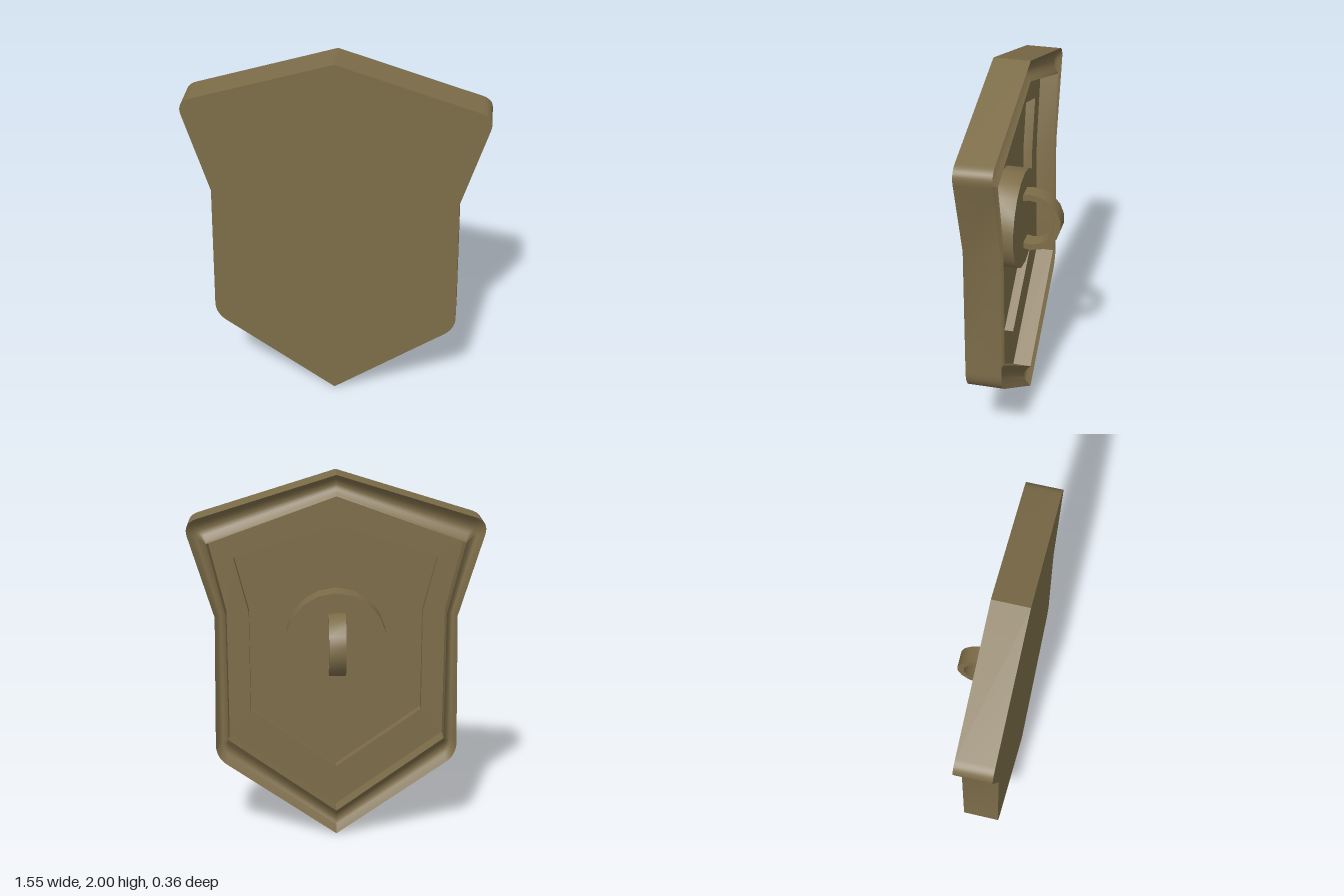
import * as THREE from 'three';
import { toCreasedNormals } from 'three/addons/utils/BufferGeometryUtils.js';

const material = new THREE.MeshStandardMaterial({ color: 0x7d6d49 });
const FRONT = 0.18, BACK = -0.01, LEDGE = 0.09, FLOOR = 0.14;

// Half outlines on the +x side, bottom tip to top tip: tip, lower corner, waist, upper corner, tip
const outerHalf = [[0, 0], [0.655, 0.46], [0.64, 1.25], [0.792, 1.754], [0, 2]];
const lipHalf = [[0, 0.137], [0.583, 0.56], [0.583, 1.26], [0.674, 1.645], [0, 1.89]];
const panelHalf = [[0, 0.36], [0.465, 0.695], [0.465, 1.25], [0.54, 1.548], [0, 1.718]];
const CORNER_STEPS = 8;

// Full counter-clockwise outline; corners 1 and 3 get a fillet of the given size (0 = sharp)
function outline(half, radius) {
  const p = half.map(([x, y]) => new THREE.Vector2(x, y));
  const right = [];
  p.forEach((v, i) => {
    if (i !== 1 && i !== 3) return right.push(v);
    const toward = (q) => v.clone().add(q.clone().sub(v).setLength(radius));
    const a = radius ? toward(p[i - 1]) : v;
    const b = radius ? toward(p[i + 1]) : v;
    right.push(...new THREE.QuadraticBezierCurve(a, v, b).getPoints(CORNER_STEPS));
  });
  const left = right.slice(1, -1).reverse().map((v) => new THREE.Vector2(-v.x, v.y));
  return [...right, ...left];
}

const at = (loop, z) => loop.map((v) => new THREE.Vector3(v.x, v.y, z));

// Skin a series of matching closed loops
function loft(loops) {
  const pos = [];
  for (let k = 0; k + 1 < loops.length; k++) {
    const a = loops[k], b = loops[k + 1], n = a.length;
    for (let i = 0; i < n; i++) {
      const j = (i + 1) % n;
      for (const tri of [[a[i], b[i], b[j]], [a[i], b[j], a[j]]]) {
        if (tri[0].equals(tri[1]) || tri[1].equals(tri[2]) || tri[0].equals(tri[2])) continue;
        tri.forEach((v) => pos.push(v.x, v.y, v.z));
      }
    }
  }
  const g = new THREE.BufferGeometry();
  g.setAttribute('position', new THREE.Float32BufferAttribute(pos, 3));
  return toCreasedNormals(g, 0.6);
}

function part(name, geometry) {
  const mesh = new THREE.Mesh(geometry, material);
  mesh.name = name;
  return mesh;
}

export function createModel() {
  const group = new THREE.Group();
  group.name = 'shield';

  const outer = outline(outerHalf, 0.075);
  const lip = outline(lipHalf, 0);
  const panel = outline(panelHalf, 0);
  const centre = outer.map(() => new THREE.Vector2(0, 1.05));

  // Shield body: front face, side wall, grooved rim, ledge and sunken panel
  const loops = [at(centre, FRONT), at(outer, FRONT)];
  const steps = 10;
  for (let s = 0; s <= steps; s++) {
    const t = s / steps;
    const z = BACK + 0.04 * Math.sin(Math.PI * t);
    loops.push(at(outer.map((v, i) => v.clone().lerp(lip[i], t)), z));
  }
  loops.push(at(lip, LEDGE), at(panel, LEDGE), at(panel, FLOOR), at(centre, FLOOR));
  group.add(part('shieldBody', loft(loops)));

  // Round boss that carries the grip
  const bossFace = 0.02;
  const boss = part('gripBoss', toCreasedNormals(
    new THREE.CylinderGeometry(0.27, 0.27, FLOOR - bossFace, 18), 0.6));
  boss.rotation.x = Math.PI / 2;
  boss.position.set(0, 1.1, (FLOOR + bossFace) / 2);
  group.add(boss);

  // Flat band bent into an open ring, its ends sunk into the boss
  const arc = [];
  const segments = 11;
  for (let i = 0; i <= segments; i++) {
    arc.push(THREE.MathUtils.degToRad(-110 + (220 * i) / segments));
  }
  const band = new THREE.Shape([
    ...arc.map((a) => new THREE.Vector2(0.167 * Math.cos(a), 0.167 * Math.sin(a))),
    ...arc.reverse().map((a) => new THREE.Vector2(0.133 * Math.cos(a), 0.133 * Math.sin(a))),
  ]);
  const gripGeometry = new THREE.ExtrudeGeometry(band, { depth: 0.09, bevelEnabled: false });
  gripGeometry.translate(0, 0, -0.045);
  const grip = part('grip', toCreasedNormals(gripGeometry, 0.6));
  grip.rotation.y = Math.PI / 2;
  grip.position.set(-0.003, 1.1, -0.015);
  group.add(grip);

  return group;
}
